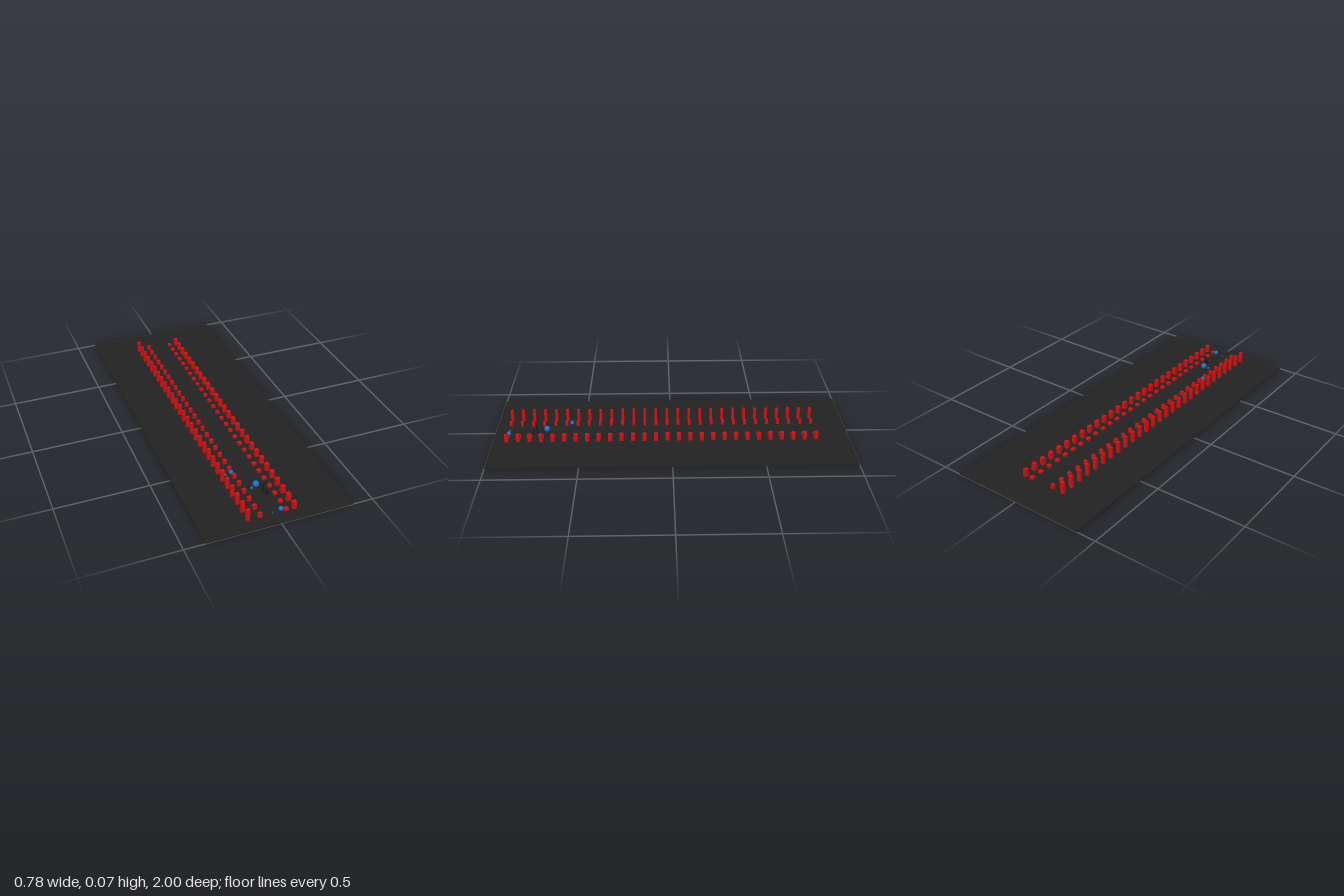
import * as THREE from 'three';

const material = (name, color) => {
  const m = new THREE.MeshStandardMaterial({ color });
  m.name = name;
  return m;
};

export function createModel() {
  const model = new THREE.Group();
  const ground = material('charcoal', 0x222222);
  const red = material('red', 0xd01010);
  const blue = material('blue', 0x1e70c8);
  const dark = material('dark figure', 0x1c1c1c);
  const floor = 0.006;

  const add = (name, geometry, mat, x, y, z, parent = model) => {
    const mesh = new THREE.Mesh(geometry, mat);
    mesh.name = name;
    mesh.position.set(x, y, z);
    parent.add(mesh);
    return mesh;
  };

  // Long slab
  add('slab', new THREE.BoxGeometry(0.78, floor, 2), ground, 0, floor / 2, 0);

  // Four rows of upright blocks: x, top height, width, depth
  const rows = [
    [-0.145, 0.072, 0.02, 0.016],
    [-0.08, 0.031, 0.02, 0.016],
    [0.06, 0.019, 0.021, 0.021],
    [0.103, 0.048, 0.022, 0.021],
  ];
  const count = 28;
  rows.forEach(([x, top, w, d], r) => {
    const row = new THREE.Group();
    row.name = `blockRow${r + 1}`;
    model.add(row);
    const geometry = new THREE.BoxGeometry(w, top - floor, d);
    for (let i = 0; i < count; i++) {
      const z = 0.924 - (i * 1.737) / (count - 1);
      add('block', geometry, red, x, (top + floor) / 2, z, row);
    }
  });

  // Pairs of balls: x, y, z, radius
  const balls = [
    [-0.005, 0.025, 0.708, 0.017], [-0.032, 0.013, 0.718, 0.007],
    [0.035, 0.019, 0.92, 0.0125], [-0.012, 0.01, 0.92, 0.004],
    [-0.083, 0.02, 0.572, 0.0115], [-0.115, 0.012, 0.572, 0.006],
  ];
  for (const [x, y, z, r] of balls) {
    add('ball', new THREE.SphereGeometry(r, 24, 16), blue, x, y, z);
  }

  // Standing figure with outstretched arms
  const figure = new THREE.Group();
  figure.name = 'figure';
  figure.position.set(0.011, 0, 0.762);
  model.add(figure);
  for (const s of [-1, 1]) {
    add('leg', new THREE.CylinderGeometry(0.003, 0.0025, 0.028, 10), dark, s * 0.003, 0.019, 0, figure);
    const arm = new THREE.QuadraticBezierCurve3(
      new THREE.Vector3(s * 0.003, 0.052, 0),
      new THREE.Vector3(s * 0.018, 0.055, 0),
      new THREE.Vector3(s * 0.028, 0.051, 0));
    add('arm', new THREE.TubeGeometry(arm, 8, 0.0015, 8), dark, 0, 0, 0, figure);
  }
  add('torso', new THREE.CylinderGeometry(0.006, 0.0045, 0.023, 12), dark, 0, 0.043, 0, figure).scale.z = 0.6;
  add('head', new THREE.SphereGeometry(0.0045, 14, 10), dark, 0, 0.06, 0, figure);

  // Low box in front of the figure
  add('lowBox', new THREE.BoxGeometry(0.016, 0.021, 0.01), dark, 0.023, floor + 0.0105, 0.783);

  return model;
}
